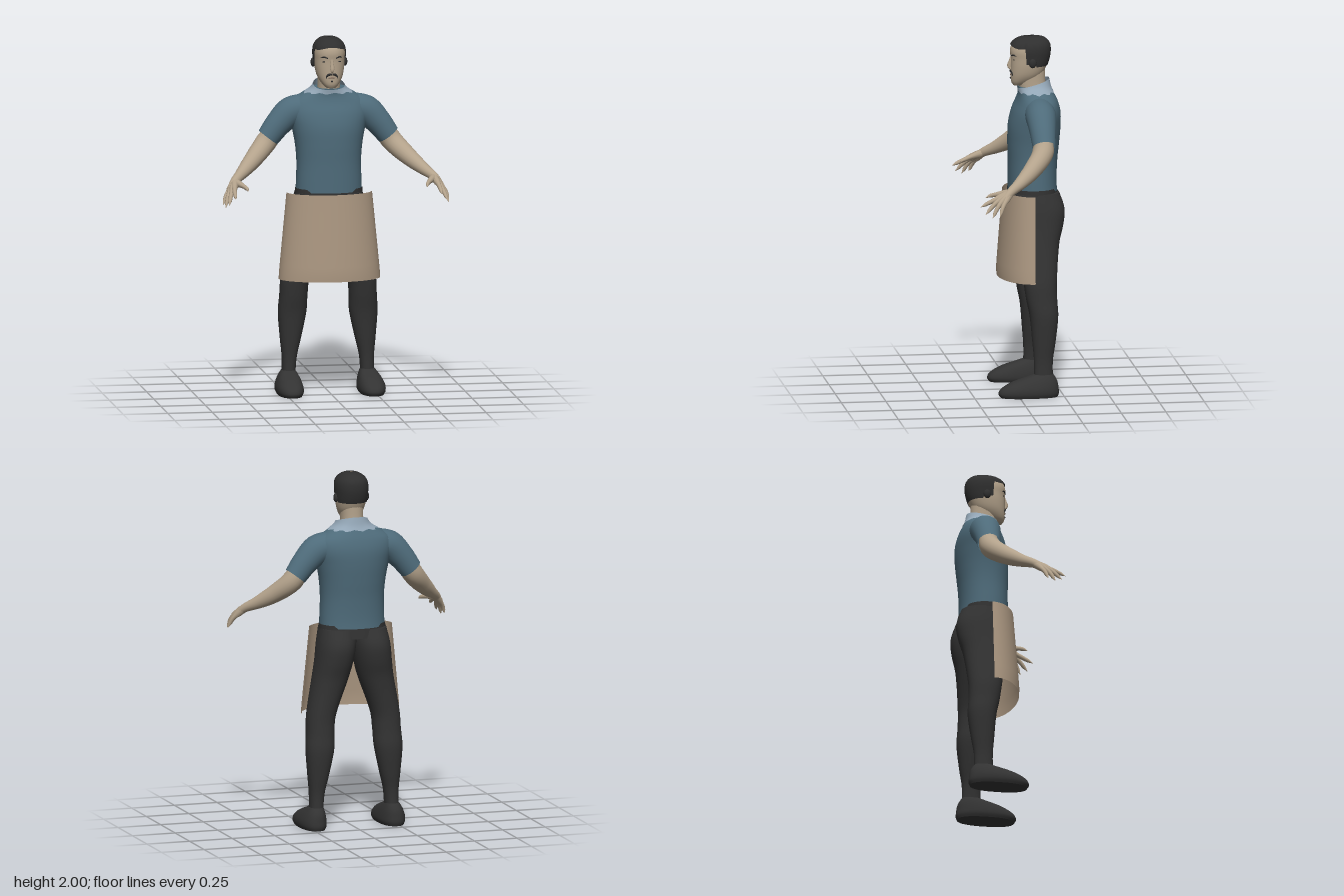
import * as THREE from 'three';

const mat = (name, color, side = THREE.FrontSide) => {
  const m = new THREE.MeshStandardMaterial({ color, side });
  m.name = name;
  return m;
};

// Section tables: [y, centre x, half width, front z, back z], from bottom to top
const TORSO = [
  [1.08, 0, 0.187, 0.03, -0.245], [1.18, 0, 0.183, 0.03, -0.238], [1.3, 0, 0.18, 0.03, -0.242],
  [1.4, 0, 0.188, 0.032, -0.252], [1.5, 0, 0.207, 0.028, -0.26], [1.58, 0, 0.225, 0.008, -0.258],
  [1.64, 0, 0.21, -0.018, -0.242], [1.68, 0, 0.15, -0.028, -0.222], [1.71, 0, 0.1, -0.026, -0.207],
  [1.76, 0, 0.07, -0.022, -0.195],
];
const LEG = [
  [0.08, 0.222, 0.037, -0.085, -0.19], [0.2, 0.217, 0.042, -0.085, -0.19], [0.3, 0.21, 0.058, -0.077, -0.205],
  [0.45, 0.2, 0.079, -0.063, -0.222], [0.54, 0.195, 0.078, -0.045, -0.217], [0.64, 0.187, 0.08, -0.03, -0.216],
  [0.85, 0.132, 0.098, 0, -0.237], [0.95, 0.112, 0.103, 0.01, -0.262], [1.04, 0.1, 0.105, 0.02, -0.271],
  [1.13, 0.088, 0.1, 0.022, -0.243],
];
const SHOE = [
  [0, 0.23, 0.066, 0.105, -0.215], [0.02, 0.23, 0.075, 0.116, -0.222], [0.05, 0.23, 0.074, 0.098, -0.22],
  [0.085, 0.227, 0.062, 0.035, -0.214], [0.11, 0.224, 0.048, -0.04, -0.202], [0.125, 0.222, 0.038, -0.085, -0.192],
];
const NECK = [[1.66, 0, 0.066, -0.04, -0.19], [1.74, 0, 0.062, -0.03, -0.178], [1.82, 0, 0.062, -0.03, -0.175]];
const HEAD = [
  [1.723, 0, 0.026, 0.002, -0.05], [1.74, 0, 0.045, 0.013, -0.1], [1.78, 0, 0.069, 0.016, -0.155],
  [1.83, 0, 0.081, 0.016, -0.183], [1.88, 0, 0.085, 0.016, -0.198], [1.92, 0, 0.086, 0.019, -0.202],
  [1.955, 0, 0.077, 0.008, -0.196], [1.98, 0, 0.054, -0.02, -0.174], [1.991, 0, 0.031, -0.05, -0.145],
  [1.995, 0, 0.003, -0.085, -0.1],
];
const APRON = [[0.645, 0, 0.285, 0.092, -0.262], [0.68, 0, 0.283, 0.094, -0.264], [1.13, 0, 0.24, 0.06, -0.24]];

// Smoothly interpolates a section table at height y
function section(table, y) {
  let i = 0;
  while (i < table.length - 2 && y > table[i + 1][0]) i++;
  const at = k => table[Math.min(Math.max(k, 0), table.length - 1)];
  const [p, a, b, n] = [at(i - 1), at(i), at(i + 1), at(i + 2)];
  const h = b[0] - a[0], t = Math.min(Math.max((y - a[0]) / h, 0), 1);
  return a.map((_, k) => {
    const m0 = (b[k] - p[k]) / (b[0] - p[0]) * h, m1 = (n[k] - a[k]) / (n[0] - a[0]) * h;
    const t2 = t * t, t3 = t2 * t;
    return (2 * t3 - 3 * t2 + 1) * a[k] + (t3 - 2 * t2 + t) * m0 + (3 * t2 - 2 * t3) * b[k] + (t3 - t2) * m1;
  });
}

// Point on a lofted body at height y and angle a (0 = front, towards +x)
function surfacePoint(table, y, a, grow = 0, p = 2.2) {
  const [, cx, rx, front, back] = section(table, y);
  const bend = v => Math.sign(v) * Math.abs(v) ** (2 / p);
  return new THREE.Vector3(cx + (rx + grow) * bend(Math.sin(a)), y,
    (front + back) / 2 + ((front - back) / 2 + grow) * bend(Math.cos(a)));
}

// Skin between the heights low(a) and high(a), over a full turn or an arc
function loft(table, { grow = 0, p = 2.2, rows = 28, cols = 40, low, high, arc, ease = t => t, caps = true } = {}) {
  low ??= () => table[0][0];
  high ??= () => table[table.length - 1][0];
  const pos = [], idx = [], n = arc ? cols + 1 : cols;
  for (let i = 0; i <= rows; i++) for (let j = 0; j < n; j++) {
    const a = arc ? -arc + 2 * arc * j / cols : 2 * Math.PI * j / cols;
    const y = low(a) + (high(a) - low(a)) * ease(i / rows);
    pos.push(...surfacePoint(table, y, a, grow, p).toArray());
  }
  for (let i = 0; i < rows; i++) for (let j = 0; j < cols; j++) {
    const a = i * n + j, b = i * n + (j + 1) % n;
    idx.push(a, b, a + n, b, b + n, a + n);
  }
  if (caps && !arc) for (const [row, top] of [[0, false], [rows, true]]) {
    const start = pos.length / 3, ring = pos.slice(row * n * 3, (row + 1) * n * 3);
    const [y, cx, , f, b] = section(table, ring[1]);
    pos.push(...ring, cx, y, (f + b) / 2);
    for (let j = 0; j < n; j++) {
      const u = start + j, v = start + (j + 1) % n;
      idx.push(start + n, top ? u : v, top ? v : u);
    }
  }
  const g = new THREE.BufferGeometry();
  g.setAttribute('position', new THREE.Float32BufferAttribute(pos, 3));
  g.setIndex(idx);
  g.computeVertexNormals();
  return g;
}

// Round limb along a path with a changing radius
function limb(points, radii, steps = 20, sides = 16) {
  const curve = new THREE.CatmullRomCurve3(points.map(q => q.isVector3 ? q : new THREE.Vector3(...q)));
  const g = new THREE.TubeGeometry(curve, steps, 1, sides);
  const pos = g.attributes.position, v = new THREE.Vector3();
  for (let i = 0; i <= steps; i++) {
    const c = curve.getPointAt(i / steps), f = i / steps * (radii.length - 1);
    const k = Math.min(Math.floor(f), radii.length - 2);
    const r = THREE.MathUtils.lerp(radii[k], radii[k + 1], f - k);
    for (let j = 0; j <= sides; j++) {
      const m = i * (sides + 1) + j;
      v.fromBufferAttribute(pos, m).sub(c).multiplyScalar(r).add(c);
      pos.setXYZ(m, v.x, v.y, v.z);
    }
  }
  return g;
}

export function createModel() {
  const skin = mat('skin', 0xb3a28b), shirt = mat('shirt blue', 0x4e6b7a, THREE.DoubleSide);
  const trousers = mat('trouser black', 0x333333), hair = mat('hair black', 0x2f2f2f, THREE.DoubleSide);
  const collar = mat('collar pale blue', 0x93a6b6, THREE.DoubleSide);
  const apron = mat('apron tan', 0xab9781, THREE.DoubleSide), lip = mat('lip brown', 0x8c7464);
  const model = new THREE.Group();
  const add = (name, geometry, material, parent = model) => {
    const m = new THREE.Mesh(geometry, material);
    m.name = name;
    parent.add(m);
    return m;
  };

  // Clothing on the trunk
  add('shirt', loft(TORSO, { low: () => 1.12, high: () => 1.715, rows: 36 }), shirt);
  add('collar', loft(TORSO, {
    grow: 0.004, rows: 6, caps: false,
    low: a => 1.688 + 0.005 * Math.sin(a * 11),
    high: a => 1.735 - 0.025 * Math.cos(a),
  }), collar);
  add('waistband', loft(TORSO, {
    grow: 0.004, rows: 6, low: () => 1.08, caps: false,
    high: a => 1.136 + (Math.abs(Math.sin(a)) > 0.6 ? 0.018 : 0),
  }), trousers);
  add('apron', loft(APRON, { p: 2, arc: Math.PI / 2, rows: 12 }), apron);

  // Head and hair
  add('neck', loft(NECK), skin);
  const dome = t => Math.sin(t * Math.PI / 2);
  add('head', loft(HEAD, { rows: 36, ease: dome }), skin);
  add('hair', loft(HEAD, {
    grow: 0.006, rows: 24, cols: 64, ease: dome, caps: false,
    low: a => {
      const c = Math.cos(a);
      return c > 0.25 ? 1.94 + 0.008 * Math.cos(3 * a) : c > -0.25 ? 1.845 : 1.83;
    },
    high: () => 1.995,
  }), hair).position.y = 0.005;
  add('nose', limb([[0, 1.89, 0.01], [0, 1.86, 0.017], [0, 1.825, 0.023], [0, 1.812, 0.014]],
    [0.006, 0.009, 0.014, 0.004]), skin);
  const onFace = (y, a, out = 0) => surfacePoint(HEAD, y, a, out);
  const strip = (pts, r) => limb(pts.map(([y, a]) => onFace(y, a)), r, 12, 8);
  add('lips', strip([[1.783, -0.25], [1.784, 0], [1.783, 0.25]], [0.001, 0.005, 0.001]), lip);
  add('chinTuft', strip([[1.769, 0], [1.764, 0], [1.758, 0]], [0.002, 0.006, 0.002]), hair);

  // Paired parts
  for (const s of [1, -1]) {
    const side = new THREE.Group();
    side.name = s > 0 ? 'leftSide' : 'rightSide';
    model.add(side);
    const put = (name, g, m) => {
      if (s < 0) { // mirror the surface and turn its faces back out
        g.scale(-1, 1, 1);
        const i = g.index.array;
        for (let k = 0; k < i.length; k += 3) [i[k], i[k + 1]] = [i[k + 1], i[k]];
      }
      return add(name, g, m, side);
    };
    const blob = (rx, ry, rz, x, y, z) => new THREE.SphereGeometry(1, 16, 12).scale(rx, ry, rz).translate(x, y, z);

    put('trouserLeg', loft(LEG, { rows: 44 }), trousers);
    put('shoe', loft(SHOE, { p: 2.4, rows: 16 }), trousers);
    put('sleeve', limb([[0.12, 1.595, -0.125], [0.21, 1.575, -0.125], [0.278, 1.513, -0.125], [0.338, 1.435, -0.125]],
      [0.085, 0.085, 0.073, 0.064], 24, 24), shirt);
    put('arm', limb([[0.29, 1.495, -0.125], [0.355, 1.405, -0.115], [0.43, 1.33, -0.05], [0.505, 1.268, 0.03],
      [0.56, 1.228, 0.095], [0.585, 1.2, 0.125]], [0.05, 0.06, 0.054, 0.044, 0.03, 0.02], 30, 20), skin);

    // Hand: palm rays running out into the fingers, and a thumb
    const fingers = [
      ['indexFinger', [0.575, 1.19, 0.19], [0.58, 1.153, 0.268]],
      ['middleFinger', [0.592, 1.177, 0.182], [0.613, 1.115, 0.243]],
      ['ringFinger', [0.605, 1.166, 0.165], [0.628, 1.097, 0.205]],
      ['littleFinger', [0.614, 1.16, 0.143], [0.635, 1.108, 0.163]],
    ];
    for (const [name, knuckle, tip] of fingers)
      put(name, limb([[0.56, 1.228, 0.095], knuckle, tip], [0.022, 0.021, 0.019, 0.013, 0.012, 0.01, 0], 18, 10), skin);
    put('thumb', limb([[0.56, 1.225, 0.1], [0.53, 1.215, 0.155], [0.508, 1.203, 0.2], [0.503, 1.19, 0.228]],
      [0.022, 0.021, 0.016, 0.012, 0.011, 0], 18, 10), skin);

    // Face details
    put('ear', blob(0.013, 0.026, 0.021, 0.09, 1.858, -0.095), hair);
    put('eyebrow', strip([[1.893, 0.22], [1.9, 0.5], [1.893, 0.75]], [0.003, 0.005, 0.001]), hair);
    const e = onFace(1.873, 0.48, -0.001);
    put('eye', blob(0.011, 0.004, 0.003, e.x, e.y, e.z), hair);
    put('moustache', strip([[1.803, 0.01], [1.801, 0.2], [1.79, 0.38], [1.778, 0.42]], [0.004, 0.007, 0.005, 0.001]), hair);
  }
  return model;
}
